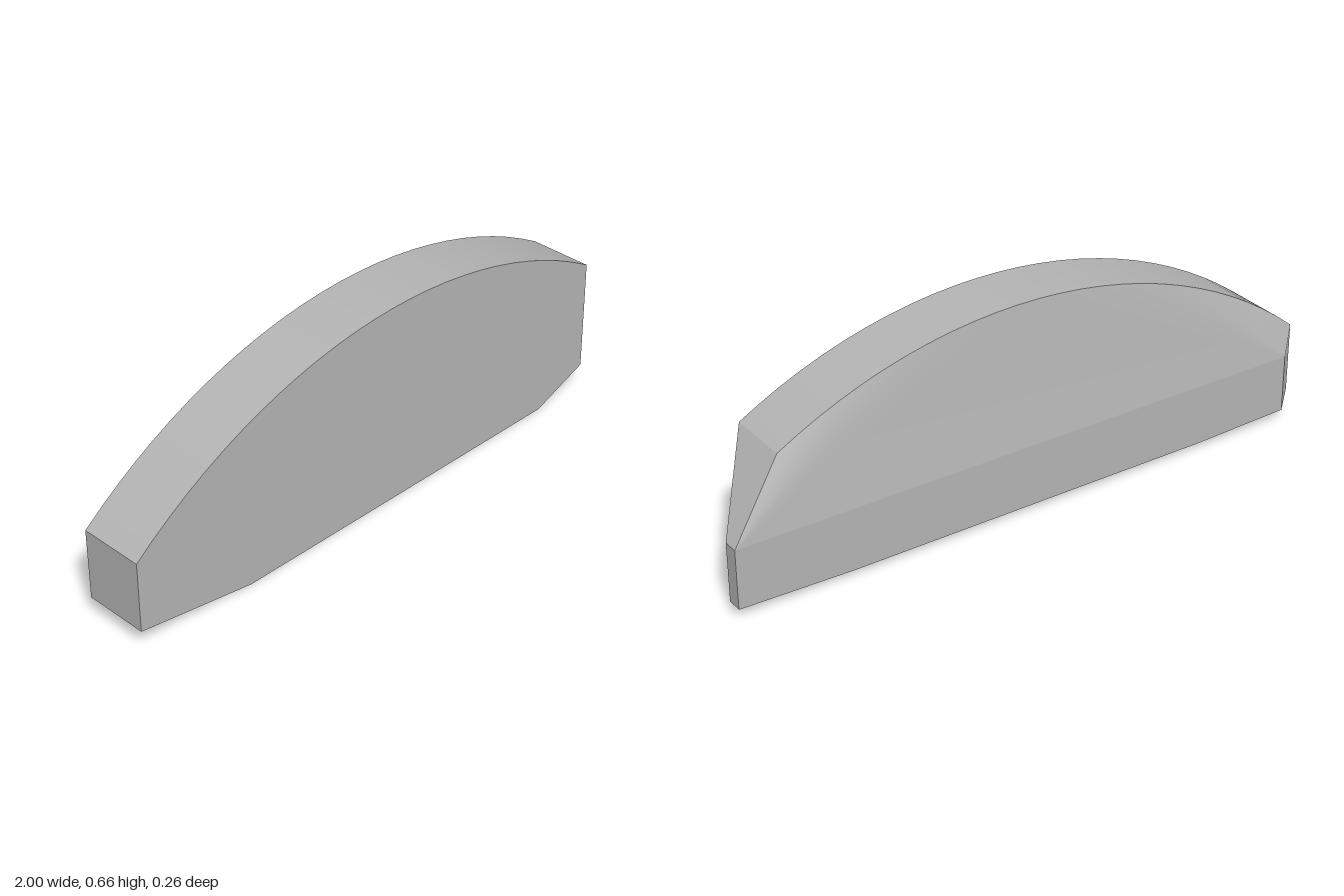
import * as THREE from 'three';
import { toCreasedNormals } from 'three/addons/utils/BufferGeometryUtils.js';
import { ConvexGeometry } from 'three/addons/geometries/ConvexGeometry.js';

const FRONT = 0.13, REAR = -0.08, BACK = -0.13;

export function createModel() {
  const gray = new THREE.MeshStandardMaterial({ color: 0xb4b4b4 });
  gray.name = 'gray';

  const points = [];
  const add = (z, ...list) => list.forEach(([x, y]) => points.push(new THREE.Vector3(x, y, z)));

  // Arched top, shared by the front face and the start of the back slope
  const radius = 1.603, peakX = 0.02, peakY = 0.66, steps = 26;
  const a0 = Math.asin((-1 - peakX) / radius), a1 = Math.asin((0.83 - peakX) / radius);
  const arch = [];
  for (let i = 0; i <= steps; i++) {
    const a = a0 + (a1 - a0) * i / steps;
    arch.push([peakX + radius * Math.sin(a), peakY - radius * (1 - Math.cos(a))]);
  }

  // Front outline with clipped lower corners
  add(FRONT, ...arch, [0.83, 0.075], [0.63, 0], [-0.6, 0], [-1, 0.065]);

  // Rear outline, swept out to the narrow left end
  add(REAR, ...arch, [1, 0.22], [1, 0.03], [0.63, 0], [-0.6, 0], [-1, 0.065]);

  // Low flat band along the back
  add(BACK, [-0.94, 0.22], [1, 0.22], [1, 0.03], [0.63, 0.02], [-0.6, 0.02], [-0.94, 0.03]);

  // Small facets of the arch and back slope are smoothed, real edges stay sharp
  const body = new THREE.Mesh(toCreasedNormals(new ConvexGeometry(points), 0.1), gray);
  body.name = 'archedBody';

  const group = new THREE.Group();
  group.name = 'archedBlock';
  group.add(body);
  return group;
}
